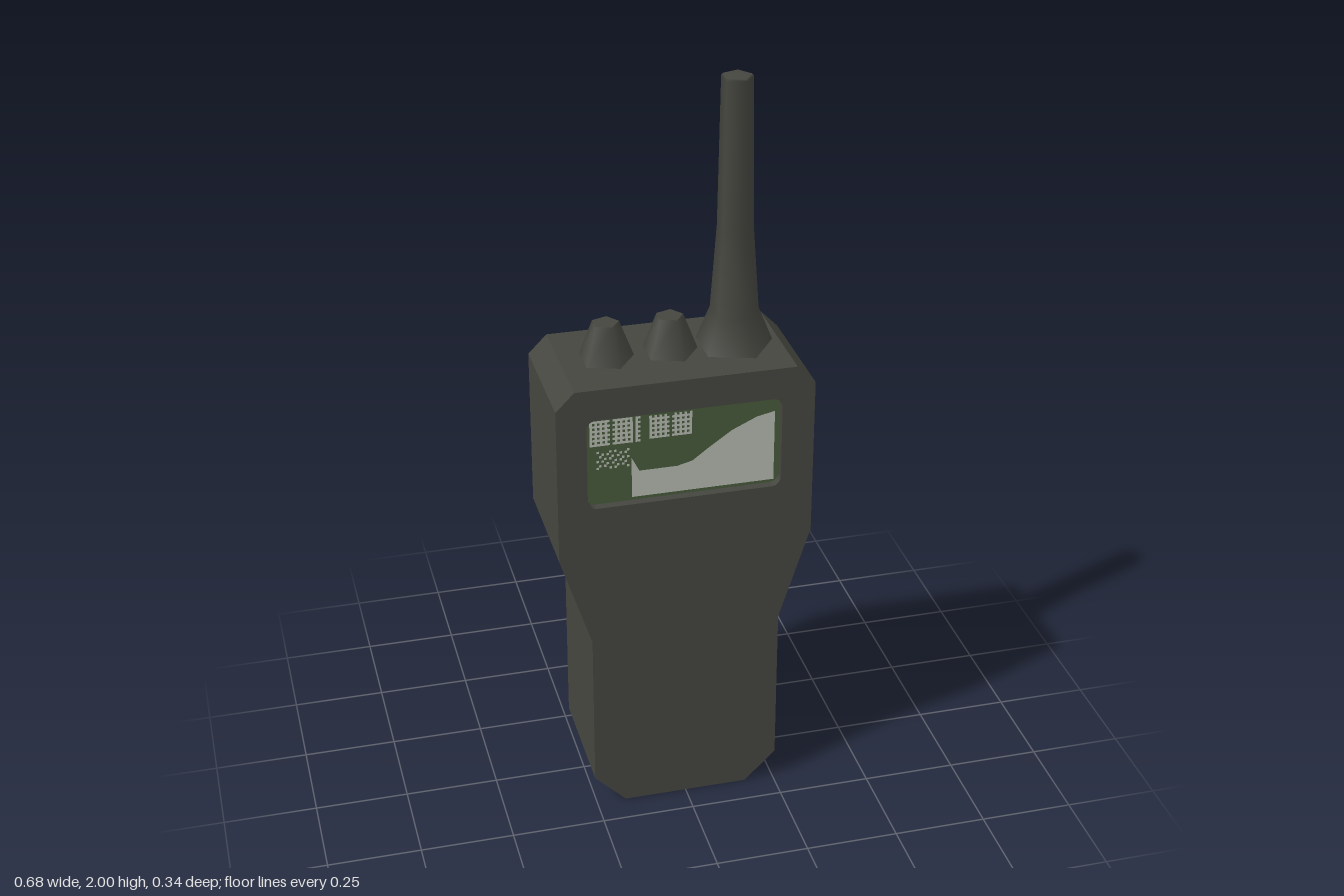
import * as THREE from 'three';
import { mergeGeometries } from 'three/addons/utils/BufferGeometryUtils.js';

const material = (name, color) => {
  const m = new THREE.MeshStandardMaterial({ color });
  m.name = name;
  return m;
};

export function createModel() {
  const casing = material('dark casing', 0x45463f);
  const green = material('display green', 0x47593b);
  const pale = material('display pale grey', 0xb4bab0);
  const group = new THREE.Group();
  group.name = 'handheldRadio';

  const add = (name, geometry, mat, x = 0, y = 0, z = 0) => {
    const mesh = new THREE.Mesh(geometry, mat);
    mesh.name = name;
    mesh.position.set(x, y, z);
    group.add(mesh);
    return mesh;
  };
  const vec = (points) => points.map(([x, y]) => new THREE.Vector2(x, y));
  const extrude = (shape, depth) =>
    new THREE.ExtrudeGeometry(shape, { depth, bevelEnabled: false, curveSegments: 4 });

  // Mirrored body silhouette
  const half = [[0.17, 0], [0.255, 0.085], [0.255, 0.53], [0.338, 0.79], [0.338, 1.225], [0.289, 1.275]];
  const outline = vec([...half, ...half.map(([x, y]) => [-x, y]).reverse()]);

  // Rounded window outline
  const windowPath = (x0, y0, x1, y1, r) => {
    const p = new THREE.Shape();
    p.absarc(x1 - r, y1 - r, r, 0, Math.PI / 2);
    p.absarc(x0 + r, y1 - r, r, Math.PI / 2, Math.PI);
    p.absarc(x0 + r, y0 + r, r, Math.PI, Math.PI * 1.5);
    p.absarc(x1 - r, y0 + r, r, Math.PI * 1.5, Math.PI * 2);
    p.closePath();
    return p;
  };

  // Body in two layers: solid rear, and a front cover with the window cut out
  const split = 0.145;
  add('body', extrude(new THREE.Shape(outline), split + 0.17), casing, 0, 0, -0.17);
  const cover = new THREE.Shape(outline);
  cover.holes.push(windowPath(-0.26, 0.935, 0.252, 1.19, 0.025));
  add('frontCover', extrude(cover, 0.17 - split), casing, 0, 0, split);

  // Recessed display with a pale graph
  add('display', new THREE.ShapeGeometry(windowPath(-0.26, 0.935, 0.252, 1.19, 0.025), 4), green, 0, 0, split + 0.002);
  const graph = new THREE.Shape(vec([[-0.14, 0.945], [0.238, 0.945], [0.238, 1.145], [0.19, 1.135],
    [0.125, 1.105], [0.06, 1.06], [0.02, 1.03], [-0.02, 1.02], [-0.12, 1.02], [-0.14, 1.06]]));
  add('displayGraph', new THREE.ShapeGeometry(graph), pale, 0, 0, split + 0.005);

  // Display dots, laid out in patches
  const dot = 0.0066;
  const dots = [];
  const patch = (x, y, cols, rows, filled) => {
    for (let i = 0; i < cols; i++) for (let j = 0; j < rows; j++) {
      if (filled(i, j)) dots.push(new THREE.PlaneGeometry(dot, dot).translate(x + i * dot, y + j * dot, 0));
    }
  };
  const dense = (i, j) => i % 9 !== 8 && (i % 2 === 0 || j % 2 === 0);
  patch(-0.245, 1.108, 20, 11, dense);
  patch(-0.09, 1.112, 18, 10, dense);
  patch(-0.228, 1.04, 13, 8, (i, j) => (i * 3 + j * 5) % 7 < 2);
  add('displayDots', mergeGeometries(dots), pale, 0, 0, split + 0.005);

  // Two five-sided tapered knobs
  for (const [name, x] of [['rightKnob', -0.17], ['middleKnob', -0.002]]) {
    add(name, new THREE.CylinderGeometry(0.036, 0.074, 0.1, 5, 1, false, Math.PI / 2), casing, x, 1.325, 0);
  }

  // Five-sided antenna with a flared foot
  const profile = vec([[0.104, 1.275], [0.066, 1.37], [0.049, 1.6], [0.042, 1.995], [0.038, 2], [0, 2]]);
  add('antenna', new THREE.LatheGeometry(profile, 5, Math.PI / 2), casing, 0.168, 0, 0);

  return group;
}
